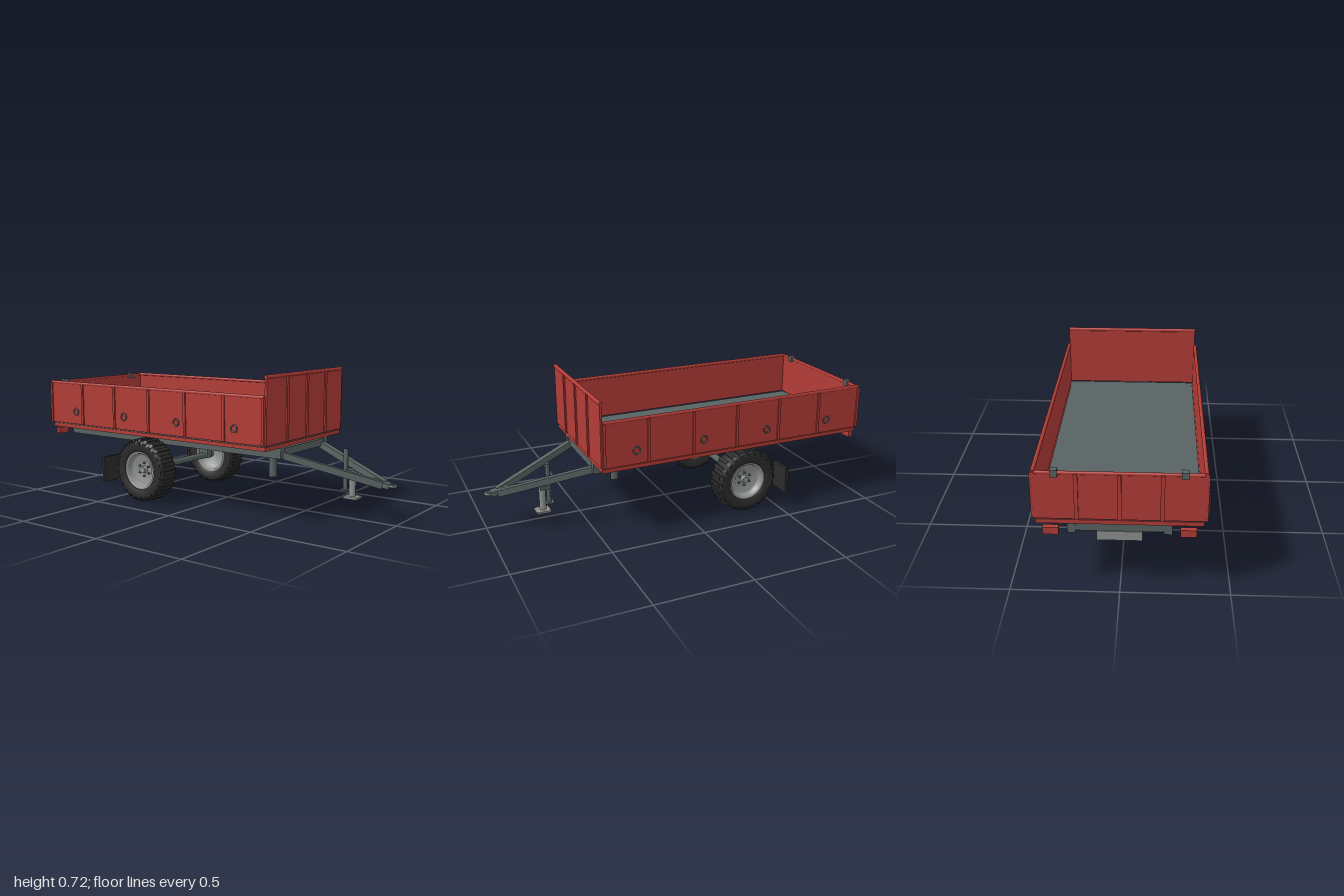
import * as THREE from 'three';
import { RoundedBoxGeometry } from 'three/addons/geometries/RoundedBoxGeometry.js';

const mat = (name, color) => Object.assign(new THREE.MeshStandardMaterial({ color }), { name });

export function createModel() {
  const red = mat('red paint', 0xb23c37);
  const grey = mat('frame grey', 0x596262);
  const black = mat('rubber black', 0x2b2b2b);
  const light = mat('light metal', 0x8e9090);
  const model = new THREE.Group();
  model.name = 'trailer';

  const add = (parent, name, geo, m, x = 0, y = 0, z = 0) => {
    const mesh = new THREE.Mesh(geo, m);
    mesh.name = name;
    mesh.position.set(x, y, z);
    parent.add(mesh);
    return mesh;
  };
  // Box given by its lower and upper limits on each axis
  const box = (name, m, x0, x1, y0, y1, z0, z1, parent = model) =>
    add(parent, name, new THREE.BoxGeometry(x1 - x0, y1 - y0, z1 - z0), m,
      (x0 + x1) / 2, (y0 + y1) / 2, (z0 + z1) / 2);
  // Upright cylinder between two heights
  const post = (name, m, r, x, z, y0, y1, parent = model) =>
    add(parent, name, new THREE.CylinderGeometry(r, r, y1 - y0, 20), m, x, (y0 + y1) / 2, z);
  // Rectangular bar between two points
  const bar = (name, m, a, b, w, h) => {
    const A = new THREE.Vector3(...a), B = new THREE.Vector3(...b);
    const mid = A.clone().add(B).multiplyScalar(0.5);
    const mesh = add(model, name, new THREE.BoxGeometry(w, h, A.distanceTo(B)), m, mid.x, mid.y, mid.z);
    mesh.lookAt(B);
    return mesh;
  };
  // Round rail lying along x or z
  const rail = (name, r, len, axis, x, y, z) => {
    const mesh = add(model, name, new THREE.CylinderGeometry(r, r, len, 16), red, x, y, z);
    if (axis === 'x') mesh.rotation.z = Math.PI / 2; else mesh.rotation.x = Math.PI / 2;
  };

  // Load bed
  box('bedFrame', red, -0.985, 0.49, 0.358, 0.378, -0.366, 0.366);
  box('floor', grey, -0.98, 0.484, 0.378, 0.382, -0.36, 0.36);

  // Side boards with ribs, top rail and rings
  for (const s of [-1, 1]) {
    const z = (a, b) => (s > 0 ? [a, b] : [-b, -a]);
    box('sideBoard', red, -0.988, 0.488, 0.385, 0.615, ...z(0.363, 0.375));
    rail('sideTopRail', 0.009, 1.47, 'x', -0.25, 0.615, s * 0.368);
    for (const x of [-0.982, -0.73, -0.485, -0.238, 0.007, 0.252, 0.482])
      box('sideRib', red, x - 0.007, x + 0.007, 0.387, 0.612, ...z(0.375, 0.382));
    for (const x of [-0.785, -0.415, -0.05, 0.315])
      add(model, 'tieRing', new THREE.TorusGeometry(0.018, 0.004, 8, 24), grey, x, 0.455, s * 0.377);
  }

  // Front board
  box('frontBoard', red, 0.484, 0.496, 0.385, 0.712, -0.365, 0.365);
  rail('frontTopRail', 0.01, 0.73, 'z', 0.49, 0.711, 0);
  for (const z of [-0.185, 0, 0.185])
    box('frontRib', red, 0.496, 0.503, 0.385, 0.711, z - 0.009, z + 0.009);

  // Tailgate with ribs and latches
  box('tailgate', red, -0.988, -0.976, 0.385, 0.612, -0.363, 0.363);
  rail('tailgateTopRail', 0.008, 0.72, 'z', -0.982, 0.612, 0);
  for (const z of [-0.185, 0, 0.185])
    box('tailgateRib', red, -0.996, -0.988, 0.385, 0.61, z - 0.009, z + 0.009);
  for (const s of [-1, 1])
    box('tailgateLatch', grey, -0.994, -0.965, 0.595, 0.628, s * 0.278 - 0.016, s * 0.278 + 0.016);

  // Chassis
  for (const s of [-1, 1])
    box('chassisRail', grey, -0.972, 0.49, 0.302, 0.358, s * 0.212 - 0.018, s * 0.212 + 0.018);
  for (const x of [-0.95, -0.16, 0.465])
    box('crossMember', grey, x - 0.018, x + 0.018, 0.312, 0.35, -0.2, 0.2);
  post('supportPost', grey, 0.021, 0.297, 0, 0.155, 0.358);

  // Axle and its brackets
  const axle = add(model, 'axle', new THREE.CylinderGeometry(0.018, 0.018, 0.54, 20), grey, -0.32, 0.172, 0);
  axle.rotation.x = Math.PI / 2;
  for (const s of [-1, 1])
    box('axleBracket', grey, -0.352, -0.288, 0.16, 0.275, s * 0.212 - 0.022, s * 0.212 + 0.022);

  // Drawbar and coupling
  for (const s of [-1, 1])
    bar('drawbarArm', grey, [0.46, 0.322, s * 0.203], [0.93, 0.193, s * 0.017], 0.03, 0.034);
  bar('couplingNeck', grey, [0.87, 0.203, 0], [0.965, 0.19, 0], 0.045, 0.026);
  const eye = add(model, 'couplingEye', new THREE.TorusGeometry(0.016, 0.008, 10, 24), grey, 0.974, 0.192, 0);
  eye.rotation.x = Math.PI / 2;

  // Parking jack
  const jack = new THREE.Group();
  jack.name = 'parkingJack';
  model.add(jack);
  post('jackTube', grey, 0.012, 0.684, -0.075, 0.12, 0.335, jack);
  box('jackTubeFoot', grey, 0.66, 0.708, 0.118, 0.124, -0.101, -0.05, jack);
  post('jackLeg', light, 0.017, 0.72, -0.083, 0.09, 0.225, jack);
  add(jack, 'jackFoot', new RoundedBoxGeometry(0.075, 0.013, 0.07, 2, 0.004), light, 0.722, 0.0865, -0.084);
  box('jackMount', grey, 0.68, 0.735, 0.208, 0.228, -0.11, -0.065, jack);

  // Rear lamps and plate
  for (const s of [-1, 1])
    box('rearLamp', red, -1, -0.975, 0.31, 0.345, s * 0.3 - 0.035, s * 0.3 + 0.035);
  box('rearPlate', light, -0.997, -0.99, 0.284, 0.33, -0.1, 0.1);

  // Wheels, built facing +z and turned for the other side
  const lathe = (name, pts, m, parent) => {
    const mesh = add(parent, name,
      new THREE.LatheGeometry(pts.map(p => new THREE.Vector2(...p)), 48), m);
    mesh.rotation.x = Math.PI / 2;
  };
  const metal = light.clone();
  metal.name = 'wheel metal';
  metal.side = THREE.DoubleSide;
  for (const s of [-1, 1]) {
    const wheel = new THREE.Group();
    wheel.name = 'wheel';
    wheel.position.set(-0.32, 0.171, s * 0.309);
    if (s < 0) wheel.rotation.y = Math.PI;
    model.add(wheel);
    lathe('tyre', [[0.1, -0.05], [0.115, -0.057], [0.14, -0.06], [0.152, -0.057], [0.163, -0.044],
      [0.163, 0.044], [0.152, 0.057], [0.14, 0.06], [0.115, 0.057], [0.1, 0.05], [0.1, -0.05]], black, wheel);
    lathe('rim', [[0.0, 0.012], [0.05, 0.012], [0.056, 0.02], [0.075, 0.018], [0.084, 0.026],
      [0.09, 0.046], [0.094, 0.052], [0.103, 0.052]], metal, wheel);
    lathe('rimBack', [[0.103, -0.052], [0.092, -0.05], [0.086, 0], [0, 0.005]], metal, wheel);
    const hub = add(wheel, 'hub', new THREE.CylinderGeometry(0.018, 0.02, 0.025, 24), metal, 0, 0, 0.022);
    hub.rotation.x = Math.PI / 2;
    for (let i = 0; i < 6; i++) {
      const a = i * Math.PI / 3 + Math.PI / 6;
      const bolt = add(wheel, 'wheelBolt', new THREE.CylinderGeometry(0.006, 0.006, 0.012, 6), grey,
        0.036 * Math.cos(a), 0.036 * Math.sin(a), 0.017);
      bolt.rotation.x = Math.PI / 2;
    }
    // Tread bars, tapering over the shoulders
    const lug = new THREE.Shape([[-0.06, 0.14], [-0.06, 0.155], [-0.045, 0.17], [0.045, 0.17],
      [0.06, 0.155], [0.06, 0.14]].map(p => new THREE.Vector2(...p)));
    const lugGeo = new THREE.ExtrudeGeometry(lug, { depth: 0.02, bevelEnabled: false });
    lugGeo.translate(0, 0, -0.01).rotateY(Math.PI / 2);
    for (let i = 0; i < 24; i++)
      add(wheel, 'treadBar', lugGeo, black).rotation.z = i * Math.PI / 12;
    // Mud flap behind the wheel
    box('mudFlap', black, -0.53, -0.513, 0.095, 0.233, s * 0.365 - 0.065, s * 0.365 + 0.065);
  }
  return model;
}
